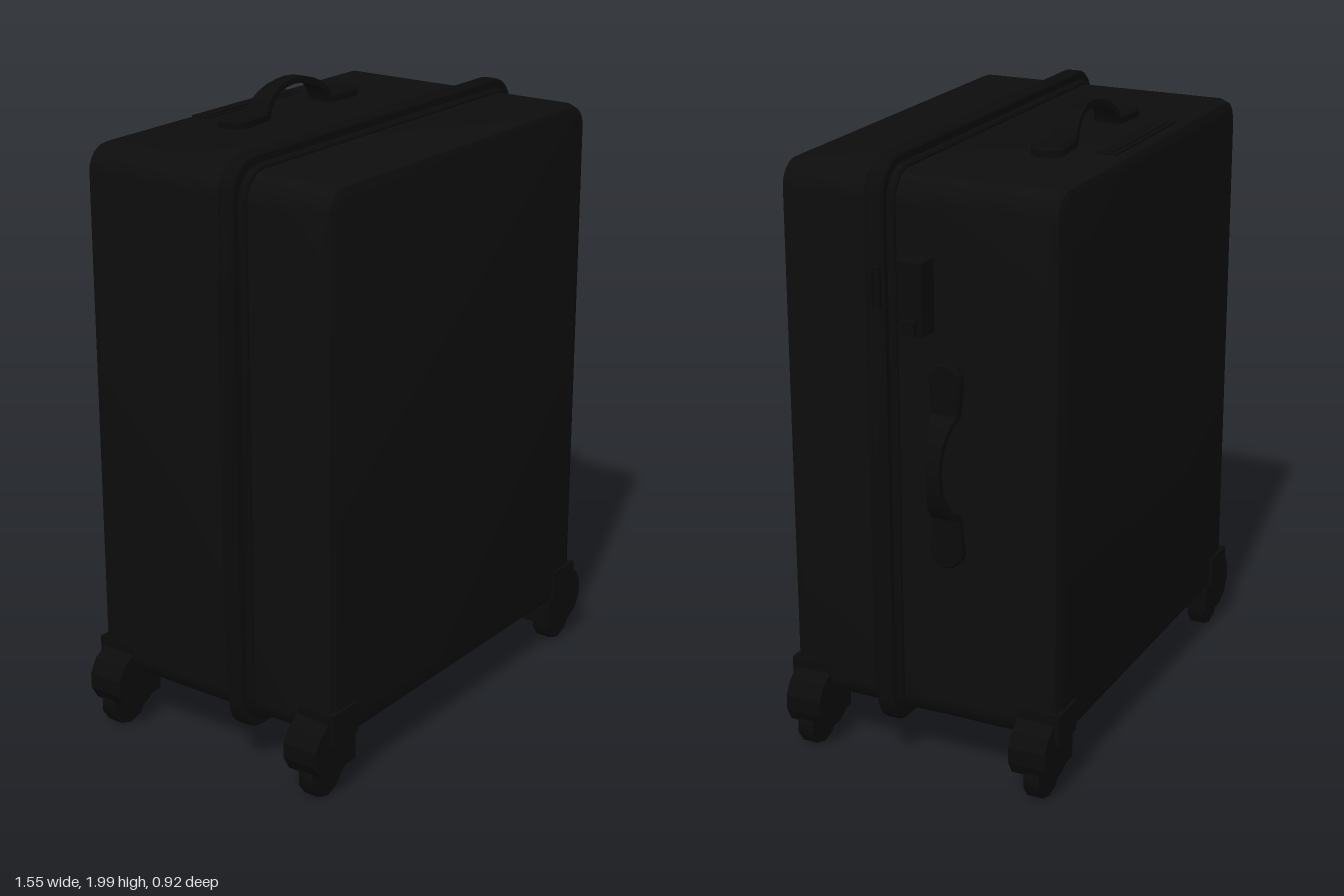
import * as THREE from 'three';
import { toCreasedNormals } from 'three/addons/utils/BufferGeometryUtils.js';

const shellMat = new THREE.MeshStandardMaterial({ color: 0x0d0d0d });
const trimMat = new THREE.MeshStandardMaterial({ color: 0x0b0b0b });
const CX = -0.02; // middle of the shell in x

function add(parent, name, geo, x = 0, y = 0, z = 0, mat = trimMat) {
  const m = new THREE.Mesh(geo, mat);
  m.name = name;
  m.position.set(x, y, z);
  parent.add(m);
  return m;
}

const box = (w, h, d) => new THREE.BoxGeometry(w, h, d);

// Rounded rectangle slab, centred, with bevelled rims; outer size is w x h x d
function slab(w, h, d, r, bevel, segs) {
  const a = w / 2 - bevel, b = h / 2 - bevel, q = r - bevel;
  const s = new THREE.Shape();
  s.absarc(a - q, b - q, q, 0, Math.PI / 2);
  s.absarc(-a + q, b - q, q, Math.PI / 2, Math.PI);
  s.absarc(-a + q, -b + q, q, Math.PI, Math.PI * 1.5);
  s.absarc(a - q, -b + q, q, Math.PI * 1.5, Math.PI * 2);
  const g = new THREE.ExtrudeGeometry(s, {
    depth: d - 2 * bevel, bevelEnabled: true, bevelThickness: bevel,
    bevelSize: bevel, bevelSegments: segs, curveSegments: 3,
  });
  g.translate(0, 0, -(d / 2 - bevel));
  return toCreasedNormals(g, 0.7);
}

// Carry handle: base at y = 0, long direction along x
function handle(name) {
  const g = new THREE.Group();
  g.name = name;
  const strap = new THREE.BoxGeometry(2, 0.02, 2, 12, 1, 1);
  const p = strap.attributes.position;
  for (let i = 0; i < p.count; i++) {
    const t = p.getX(i) * Math.PI / 2, o = p.getY(i);
    const half = 0.021 + 0.02 * Math.sin(t) ** 2; // waisted in the middle
    p.setXYZ(i, Math.sin(t) * (0.157 + o), 0.01 + Math.cos(t) * (0.087 + o), p.getZ(i) * half);
  }
  add(g, name + 'Strap', toCreasedNormals(strap, 0.6));
  // Round-ended mounts
  for (const s of [-1, 1]) {
    const shape = new THREE.Shape();
    shape.moveTo(0.155, -0.042);
    shape.lineTo(0.27, -0.052);
    shape.absarc(0.27, 0, 0.052, -Math.PI / 2, Math.PI / 2);
    shape.lineTo(0.155, 0.042);
    const mount = new THREE.ExtrudeGeometry(shape, {
      depth: 0.022, bevelEnabled: true, bevelThickness: 0.008, bevelSize: 0.008,
      bevelOffset: -0.008, bevelSegments: 1, curveSegments: 5,
    });
    mount.rotateX(-Math.PI / 2);
    const m = add(g, name + 'Mount', mount);
    if (s < 0) m.rotation.y = Math.PI;
  }
  return g;
}

// Corner caster: sx, sz pick the corner
function caster(sx, sz) {
  const g = new THREE.Group();
  g.name = (sz > 0 ? 'front' : 'back') + (sx > 0 ? 'Left' : 'Right') + 'Caster';
  const X = (v) => CX + sx * v;
  // Plate wrapping the shell corner
  add(g, 'cornerPlate', box(0.125, 0.1, 0.13), X(0.628), 0.24, sz * 0.395);
  add(g, 'plateFoot', box(0.11, 0.12, 0.115), X(0.615), 0.15, sz * 0.3875);
  // Round wheel cover
  const cover = new THREE.CylinderGeometry(0.097, 0.097, 0.12, 12);
  cover.rotateX(Math.PI / 2).rotateZ(Math.PI / 12);
  add(g, 'wheelCover', toCreasedNormals(cover, 0.4), X(0.665), 0.165, sz * 0.385);
  const wheel = new THREE.CylinderGeometry(0.078, 0.078, 0.052, 10);
  wheel.rotateX(Math.PI / 2);
  add(g, 'wheel', toCreasedNormals(wheel, 0.7), X(0.665), 0.079, sz * 0.392);
  const axle = new THREE.CylinderGeometry(0.022, 0.022, 0.064, 8);
  axle.rotateX(Math.PI / 2);
  add(g, 'axle', axle, X(0.665), 0.079, sz * 0.392);
  return g;
}

export function createModel() {
  const model = new THREE.Group();
  model.name = 'suitcase';

  // Shell and the raised frame where its halves meet
  add(model, 'shell', slab(1.375, 1.715, 0.9, 0.085, 0.035, 2), CX, 1.0325, 0, shellMat);
  add(model, 'frame', slab(1.45, 1.795, 0.055, 0.105, 0.006, 1), CX, 1.0325, 0.112);
  add(model, 'frameStep', slab(1.4, 1.74, 0.1, 0.095, 0.006, 1), CX, 1.0325, 0.112);

  // Carry handles on the top and on the left side
  const top = handle('topHandle');
  top.position.set(0, 1.888, -0.23);
  const side = handle('sideHandle');
  side.position.set(0.667, 1.035, -0.1);
  side.rotation.z = -Math.PI / 2;
  model.add(top, side);

  // Retracted pull handle near the back edge
  add(model, 'pullHandleTrim', box(0.46, 0.012, 0.065), CX, 1.888, -0.385);
  add(model, 'pullHandleGrip', box(0.4, 0.012, 0.035), CX, 1.892, -0.385);

  // Combination lock with dials and a release button
  const lock = new THREE.Group();
  lock.name = 'lock';
  add(lock, 'lockPlate', box(0.08, 0.22, 0.075), 0.705, 1.55, -0.02);
  for (let i = 0; i < 3; i++) {
    const dial = new THREE.CylinderGeometry(0.022, 0.022, 0.02, 10);
    add(lock, 'dial', dial, 0.73, 1.55 + i * 0.036, -0.02);
  }
  add(lock, 'releaseButton', box(0.03, 0.042, 0.045), 0.747, 1.47, -0.02);
  // Latch on the frame
  add(lock, 'latch', box(0.05, 0.13, 0.04), 0.695, 1.56, 0.112);
  add(lock, 'latchTab', box(0.03, 0.1, 0.01), 0.722, 1.56, 0.112);
  model.add(lock);

  // Long hinge on the right side
  add(model, 'hinge', box(0.04, 1.1, 0.06), -0.73, 1.03, 0.112);

  for (const sx of [-1, 1]) for (const sz of [-1, 1]) model.add(caster(sx, sz));
  return model;
}
